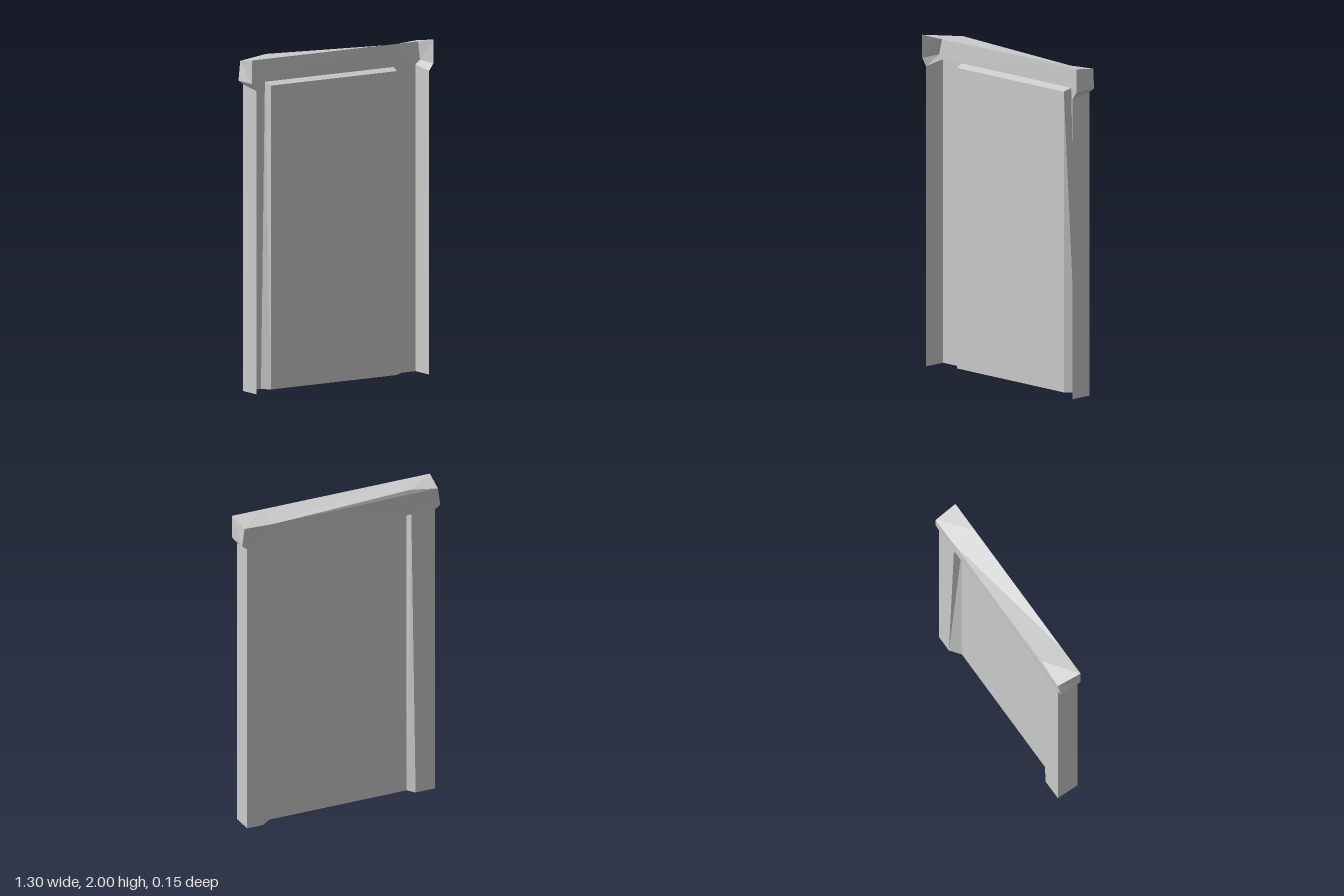
import * as THREE from 'three';

const material = new THREE.MeshStandardMaterial({
  color: 0xcccccc, flatShading: true, side: THREE.DoubleSide,
});

const toPoints = (list) => list.map((p) => new THREE.Vector3(...p));

function makeMesh(name, points, index) {
  const geometry = new THREE.BufferGeometry().setFromPoints(points);
  geometry.setIndex(index);
  geometry.computeVertexNormals();
  const mesh = new THREE.Mesh(geometry, material);
  mesh.name = name;
  return mesh;
}

// Band of quads joining two outlines with the same number of points
function strip(name, front, back) {
  const n = front.length;
  const index = [];
  for (let i = 0; i < n - 1; i++) {
    index.push(i, i + 1, n + i + 1, i, n + i + 1, n + i);
  }
  return makeMesh(name, [...front, ...back], index);
}

// Filled face inside an outline, turned towards the front or the back
function face(name, outline, facesBack) {
  const flat = outline.map((p) => new THREE.Vector2(p.x, p.y));
  const index = THREE.ShapeUtils.triangulateShape(flat, [])
    .flatMap(([a, b, c]) => (facesBack ? [a, c, b] : [a, b, c]));
  return makeMesh(name, outline, index);
}

export function createModel() {
  const group = new THREE.Group();
  group.name = 'doorway';

  // Outer outlines, from the foot at -x over the top to the foot at +x
  const F = 0.075, B = -0.066;
  const frontOutline = toPoints([
    [-0.615, 0, F], [-0.615, 1.815, F], [-0.648, 1.86, F], [-0.648, 2, F], [-0.45, 2, F],
    [0.45, 2, F], [0.648, 2, F], [0.648, 1.86, F], [0.615, 1.815, F], [0.615, 0, F],
  ]);
  const backOutline = toPoints([
    [-0.615, 0, B], [-0.615, 1.835, B], [-0.648, 1.86, B], [-0.628, 1.975, -0.076], [-0.45, 2, -0.07],
    [0.45, 1.968, -0.07], [0.638, 1.978, -0.076], [0.648, 1.86, -0.068], [0.615, 1.835, B], [0.615, 0, B],
  ]);

  // Slightly crooked opening in the frame, and the door set into it
  const opening = toPoints([
    [-0.487, 0, B], [-0.459, 1.835, B], [0.46, 1.835, B], [0.512, 0, B],
  ]);
  const P = -0.017;
  const door = toPoints([
    [-0.45, 0, P], [-0.45, 1.818, P], [0.448, 1.818, P], [0.448, 0, P],
  ]);

  group.add(
    strip('frameSides', frontOutline, backOutline),
    face('frameFace', [...backOutline, ...[...opening].reverse()], true),
    strip('doorReveal', door, opening),
    face('doorPanel', door, true),
  );
  return group;
}
